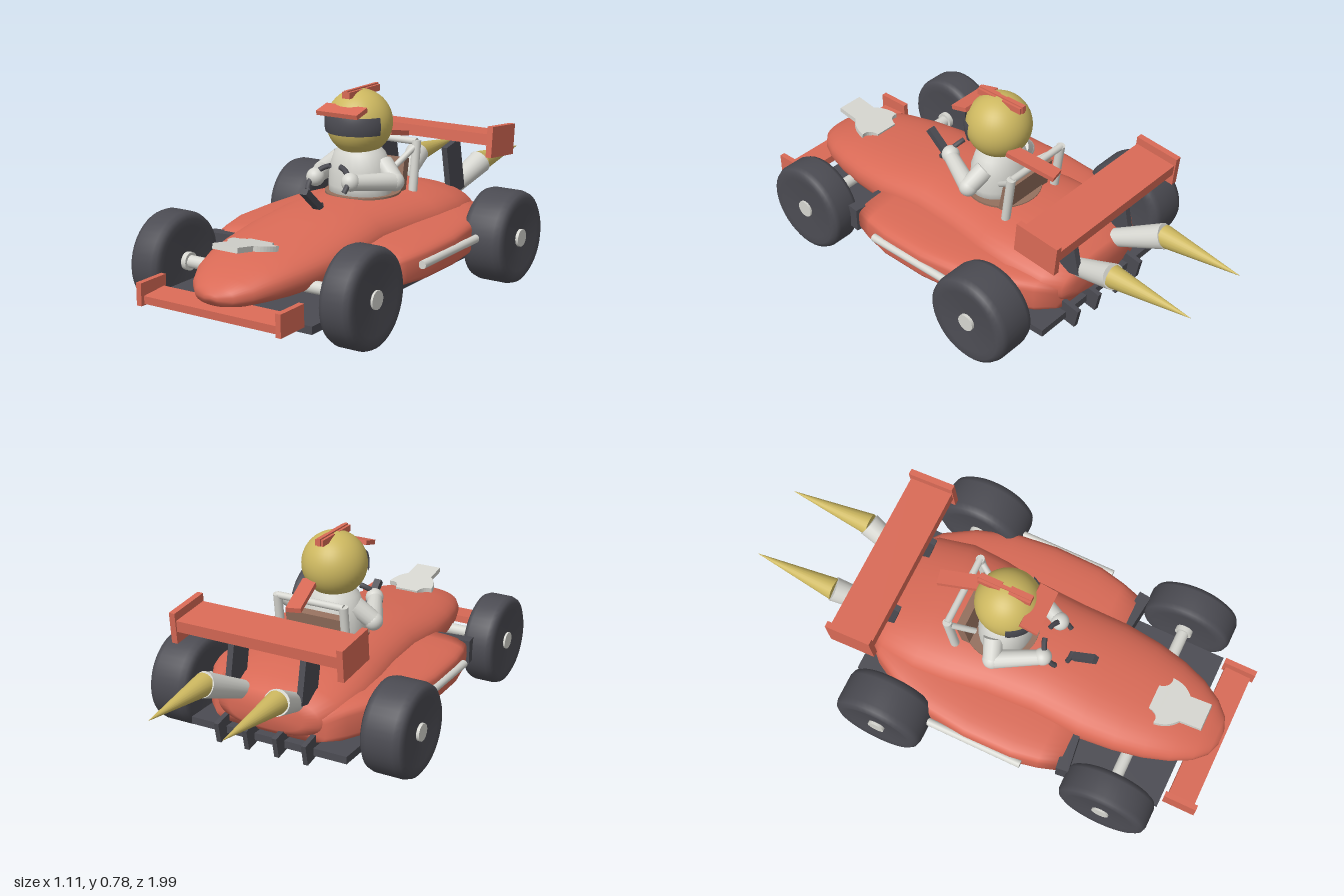
import * as THREE from 'three';

const mat = (name, color) => {
  const m = new THREE.MeshStandardMaterial({ color, side: THREE.DoubleSide });
  m.name = name;
  return m;
};

export function createModel() {
  const group = new THREE.Group();
  const red = mat('red paint', 0xd96a56), dark = mat('dark rubber', 0x4b4b52);
  const white = mat('pale grey', 0xd6d6d0), gold = mat('gold', 0xcdb860), tan = mat('tan seat', 0x94705e);

  const add = (name, geo, m, x = 0, y = 0, z = 0, rx = 0, ry = 0, rz = 0) => {
    const mesh = new THREE.Mesh(geo, m);
    mesh.name = name;
    mesh.position.set(x, y, z);
    mesh.rotation.set(rx, ry, rz);
    group.add(mesh);
    return mesh;
  };
  const box = (w, h, d) => new THREE.BoxGeometry(w, h, d);
  const ball = (r) => new THREE.SphereGeometry(r, 24, 16);

  // Round bar between two points
  const bar = (name, a, b, r1, r2, m, sides = 16) => {
    const p = new THREE.Vector3(...a), q = new THREE.Vector3(...b), d = q.clone().sub(p);
    const mesh = add(name, new THREE.CylinderGeometry(r2, r1, d.length(), sides), m);
    mesh.position.copy(p).add(q).multiplyScalar(0.5);
    mesh.quaternion.setFromUnitVectors(new THREE.Vector3(0, 1, 0), d.normalize());
  };

  // Loft through superellipse sections [z, half width, bottom, top], rear to front
  const loft = (sections, power, n = 40) => {
    const pos = [], idx = [];
    const bend = (v) => Math.sign(v) * Math.abs(v) ** (2 / power);
    for (const [z, w, y0, y1] of sections) {
      for (let j = 0; j < n; j++) {
        const t = (j / n) * Math.PI * 2;
        pos.push(w * bend(Math.cos(t)), (y0 + y1) / 2 + ((y1 - y0) / 2) * bend(Math.sin(t)), z);
      }
    }
    const last = sections.length - 1;
    for (let i = 0; i < last; i++) {
      for (let j = 0; j < n; j++) {
        const k = (j + 1) % n, a = i * n + j, b = i * n + k, c = a + n, d = b + n;
        idx.push(a, b, c, b, d, c);
      }
    }
    for (const i of [0, last]) {
      const [z, , y0, y1] = sections[i], c = pos.length / 3;
      pos.push(0, (y0 + y1) / 2, z);
      for (let j = 0; j < n; j++) {
        const a = i * n + j, b = i * n + ((j + 1) % n);
        if (i) idx.push(c, a, b); else idx.push(c, b, a);
      }
    }
    const g = new THREE.BufferGeometry();
    g.setAttribute('position', new THREE.Float32BufferAttribute(pos, 3));
    g.setIndex(idx);
    g.computeVertexNormals();
    return g;
  };

  // Main hull and side pods
  add('hull', loft([
    [-0.49, 0.16, 0.16, 0.28], [-0.47, 0.22, 0.14, 0.30], [-0.4, 0.275, 0.12, 0.335],
    [-0.25, 0.3, 0.12, 0.365], [-0.1, 0.29, 0.12, 0.37], [0.05, 0.265, 0.12, 0.367],
    [0.25, 0.252, 0.12, 0.373], [0.45, 0.255, 0.13, 0.347], [0.6, 0.24, 0.14, 0.325],
    [0.72, 0.215, 0.14, 0.308], [0.82, 0.18, 0.145, 0.285], [0.9, 0.135, 0.15, 0.255],
    [0.95, 0.085, 0.16, 0.23], [0.97, 0.03, 0.18, 0.205]], 2.4), red);
  add('sidePods', loft([
    [-0.46, 0.24, 0.13, 0.25], [-0.4, 0.3, 0.12, 0.28], [-0.28, 0.37, 0.12, 0.29],
    [-0.12, 0.425, 0.12, 0.288], [0.05, 0.445, 0.12, 0.282], [0.25, 0.442, 0.12, 0.28],
    [0.36, 0.42, 0.125, 0.27], [0.44, 0.395, 0.135, 0.26]], 5), red);

  // Floor with rear fins
  add('floor', box(0.68, 0.03, 1.33), dark, 0, 0.105, 0.185);
  for (const x of [-0.19, -0.065, 0.065, 0.19]) add('diffuserFin', box(0.02, 0.085, 0.14), dark, x, 0.122, -0.46, -0.2);

  // Front and rear wings
  add('frontWing', box(0.6, 0.03, 0.11), red, 0, 0.14, 0.925, 0.08);
  add('rearWing', box(0.7, 0.045, 0.18), red, 0, 0.53, -0.462, -0.1);

  // Nose fin
  const fin = new THREE.Shape();
  fin.moveTo(-0.055, 0.12);
  fin.lineTo(0.055, 0.12);
  fin.lineTo(0.055, 0.03);
  fin.quadraticCurveTo(0.095, 0, 0.1, -0.06);
  fin.quadraticCurveTo(0.06, -0.05, 0.05, -0.1);
  fin.lineTo(-0.05, -0.1);
  fin.quadraticCurveTo(-0.06, -0.05, -0.1, -0.06);
  fin.quadraticCurveTo(-0.095, 0, -0.055, 0.03);
  const finGeo = new THREE.ExtrudeGeometry(fin, { depth: 0.02, bevelEnabled: false, curveSegments: 8 });
  add('noseFin', finGeo, white, 0, 0.34, 0.765, Math.PI / 2 - 0.17);

  // Wheel profile turned about its axle
  const wheel = (r, w) => {
    const h = w / 2, pts = [[0.03, -h * 0.85], [r * 0.72, -h * 0.93], [r * 0.86, -h], [r * 0.96, -h * 0.86], [r, -h * 0.6],
      [r, h * 0.6], [r * 0.96, h * 0.86], [r * 0.86, h], [r * 0.72, h * 0.93], [0.03, h * 0.85]];
    return new THREE.LatheGeometry(pts.map((p) => new THREE.Vector2(...p)), 40);
  };

  for (const s of [-1, 1]) {
    add('frontWheel', wheel(0.185, 0.135), dark, s * 0.418, 0.187, 0.66, 0, 0, Math.PI / 2);
    add('rearWheel', wheel(0.185, 0.178), dark, s * 0.464, 0.187, -0.285, 0, 0, Math.PI / 2);
    bar('frontAxle', [s * 0.1, 0.187, 0.66], [s * 0.36, 0.187, 0.66], 0.024, 0.024, white);
    bar('rearAxle', [s * 0.1, 0.187, -0.285], [s * 0.4, 0.187, -0.285], 0.024, 0.024, white);
    bar('frontHub', [s * 0.34, 0.187, 0.66], [s * 0.484, 0.187, 0.66], 0.035, 0.035, white);
    bar('rearHub', [s * 0.36, 0.187, -0.285], [s * 0.552, 0.187, -0.285], 0.035, 0.035, white);

    add('sideIntake', box(0.16, 0.1, 0.05), dark, s * 0.325, 0.2, 0.45, 0, -s * 0.12);
    bar('sidePipe', [s * 0.445, 0.212, 0.3], [s * 0.445, 0.212, -0.12], 0.016, 0.016, white);
    add('frontWingEnd', box(0.022, 0.085, 0.135), red, s * 0.304, 0.158, 0.927);
    add('rearWingEnd', box(0.025, 0.125, 0.19), red, s * 0.354, 0.522, -0.462, -0.1);
    add('rearWingStrut', box(0.025, 0.22, 0.11), dark, s * 0.155, 0.39, -0.43, 0.2);

    // Exhaust and flame
    bar('exhaust', [s * 0.115, 0.28, -0.46], [s * 0.155, 0.37, -0.66], 0.036, 0.05, white, 20);
    bar('flame', [s * 0.155, 0.37, -0.655], [s * 0.152, 0.372, -1], 0.045, 0.001, gold, 20);

    // Arms and gloves
    bar('upperArm', [s * 0.1, 0.49, 0.02], [s * 0.168, 0.435, 0.045], 0.04, 0.036, white);
    add('elbow', ball(0.038), white, s * 0.168, 0.433, 0.045);
    bar('forearm', [s * 0.168, 0.433, 0.045], [s * 0.085, 0.452, 0.215], 0.037, 0.03, white);
    add('glove', ball(0.036), white, s * 0.08, 0.455, 0.22);

    // Roll bar posts
    bar('rollBarPost', [s * 0.145, 0.34, -0.125], [s * 0.145, 0.555, -0.155], 0.018, 0.018, white);
    bar('rollBarBrace', [s * 0.145, 0.535, -0.15], [s * 0.1, 0.46, -0.06], 0.012, 0.012, white);
  }

  // Seat and cockpit lining
  bar('rollBarTop', [-0.145, 0.55, -0.155], [0.145, 0.55, -0.155], 0.014, 0.014, white);
  add('seatBack', box(0.25, 0.15, 0.035), tan, 0, 0.415, -0.1, -0.2);
  add('cockpitLining', new THREE.CylinderGeometry(0.15, 0.15, 0.008, 32), tan, 0, 0.368, 0.01);

  // Steering wheel in separate arcs
  for (const a of [-0.25, 0.75, 1.85, 2.95, 4.3]) {
    const arc = new THREE.TorusGeometry(0.085, 0.011, 6, 6, 0.55);
    add('steeringArc', arc, dark, 0, 0.44, 0.255, -0.7).rotateZ(a);
  }
  add('steeringColumn', box(0.03, 0.13, 0.025), dark, 0, 0.405, 0.36, 0.85);

  // Driver body
  const torso = [[0.001, 0.33], [0.12, 0.33], [0.125, 0.4], [0.12, 0.47], [0.1, 0.53], [0.06, 0.57], [0.001, 0.58]];
  const body = new THREE.LatheGeometry(torso.map((p) => new THREE.Vector2(...p)), 28);
  add('torso', body, white, 0, 0, 0.03).scale.set(1.05, 1, 0.87);

  // Helmet with visor, peak, crest and tail
  add('helmet', new THREE.SphereGeometry(0.13, 40, 28), gold, 0, 0.647, 0.035);
  add('visor', new THREE.SphereGeometry(0.136, 32, 8, Math.PI / 2 - 1.22, 2.44, 1.3, 0.52), dark, 0, 0.647, 0.035);
  add('helmetPeak', box(0.185, 0.018, 0.075), red, 0, 0.708, 0.158, 0.25);
  for (const z of [-0.04, 0.085]) add('helmetCrest', box(0.035, 0.025, 0.09), red, 0, 0.764, z);
  add('helmetCrestRidge', box(0.014, 0.03, 0.22), red, 0, 0.767, 0.02);
  add('helmetTail', box(0.06, 0.02, 0.21), red, 0.03, 0.573, -0.165, -0.22, 0.2);

  return group;
}
